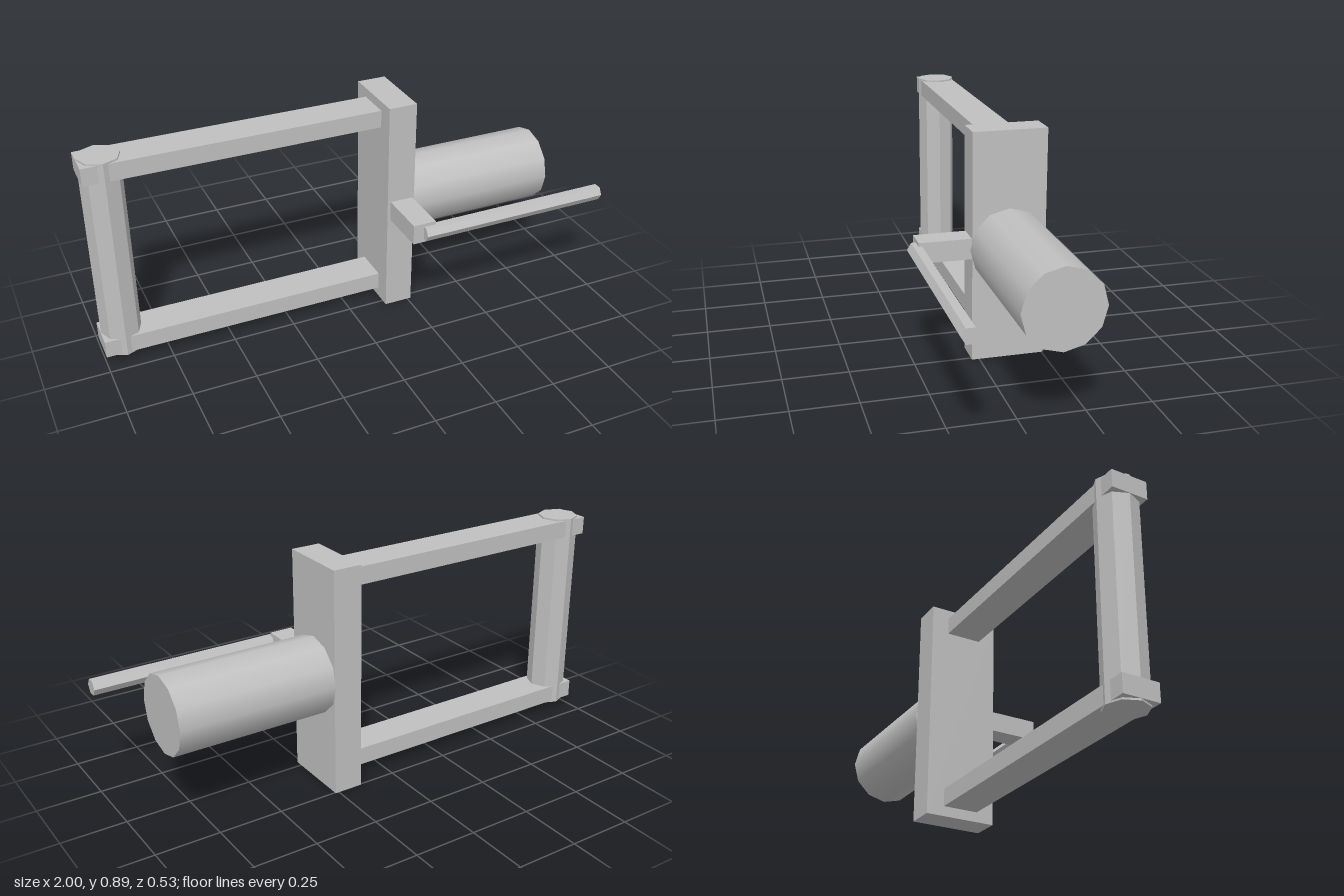
import * as THREE from 'three';

const CY = 0.447;   // height of the mid line
const CZ = -0.113;  // depth of the frame's mid plane

export function createModel() {
  const model = new THREE.Group();
  model.name = 'handGripFrame';
  const grey = new THREE.MeshStandardMaterial({ color: 0xc0c0c0 });
  grey.name = 'grey';

  const add = (name, geometry, x, y, z) => {
    const mesh = new THREE.Mesh(geometry, grey);
    mesh.name = name;
    mesh.position.set(x, y, z);
    model.add(mesh);
    return mesh;
  };

  // Box given by its extents on each axis
  const box = (name, [x0, x1], [y0, y1], [z0, z1]) =>
    add(name, new THREE.BoxGeometry(x1 - x0, y1 - y0, z1 - z0),
      (x0 + x1) / 2, (y0 + y1) / 2, (z0 + z1) / 2);

  // Faceted prism standing along y
  const prism = (radius, length, sides) => {
    const g = new THREE.CylinderGeometry(radius, radius, length, sides).toNonIndexed();
    g.computeVertexNormals();
    return g;
  };

  // Upright plate with a small side bracket
  box('plate', [0.15, 0.265], [0, 0.893], [-0.255, 0.029]);
  box('bracket', [0.163, 0.257], [0.407, 0.488], [0.029, 0.23]);

  // Two arms reaching out to the grip
  box('lowerArm', [-1, 0.15], [0.04, 0.11], [CZ - 0.071, CZ + 0.071]);
  box('upperArm', [-1, 0.15], [0.786, 0.856], [CZ - 0.071, CZ + 0.071]);

  // Eight-sided grip bar joining the arm ends
  add('grip', prism(0.079, 0.83, 8), -0.92, CY + 0.001, CZ);

  // Large smooth drum on the far side of the plate
  const drum = add('drum', new THREE.CylinderGeometry(0.15, 0.15, 0.615, 12), 0.5725, CY, CZ);
  drum.rotation.z = -Math.PI / 2;

  // Thin six-sided rod beside the drum
  const rod = add('rod', prism(0.0315, 0.793, 6), 0.6035, CY, 0.232);
  rod.rotation.z = -Math.PI / 2;

  return model;
}
